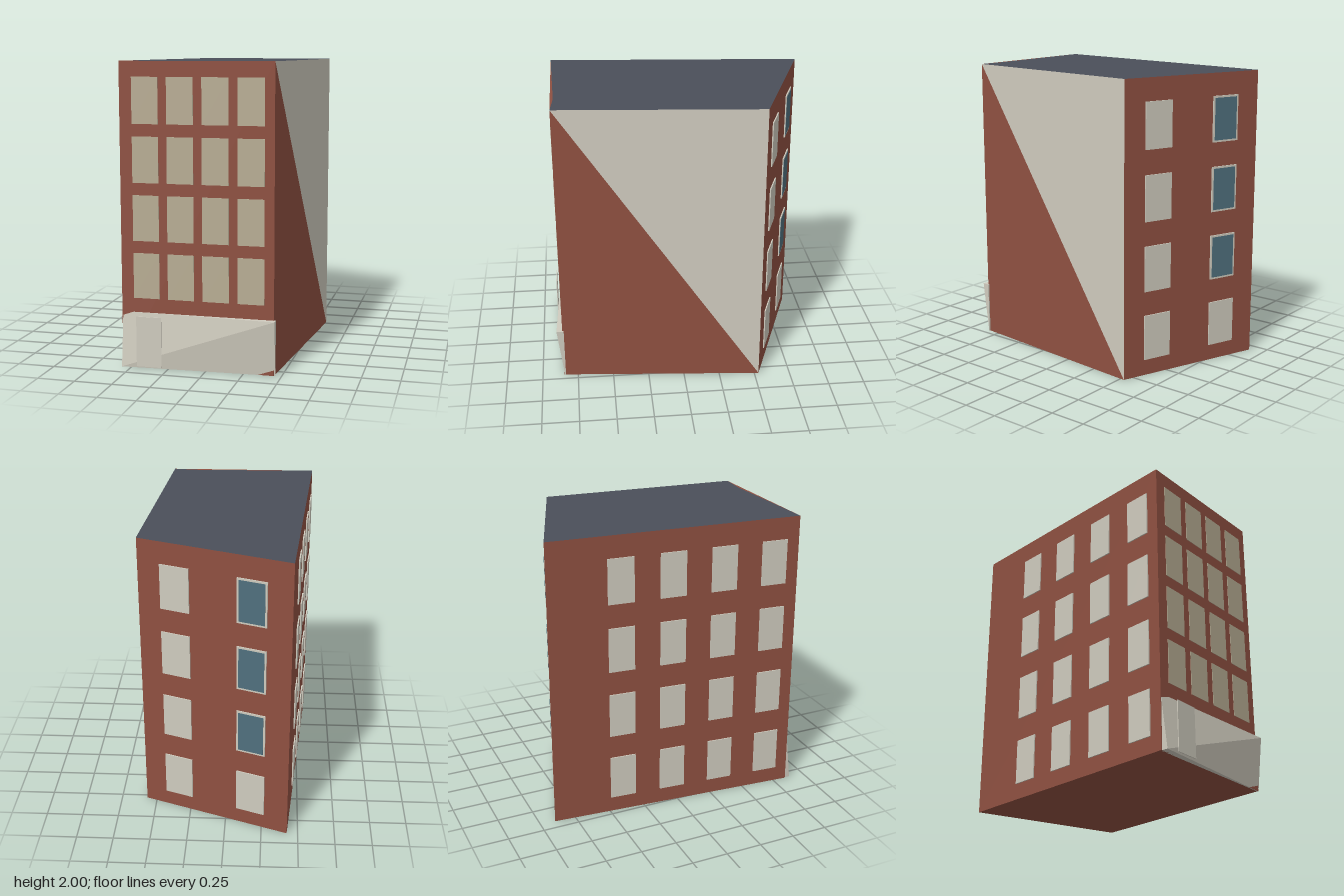
import * as THREE from 'three';

const mat = (name, color) => {
  const m = new THREE.MeshStandardMaterial({ color });
  m.name = name;
  return m;
};

export function createModel() {
  const brick = mat('brick', 0x8f5041);
  const stone = mat('stone', 0xcfcbbe);
  const blind = mat('window tan', 0xb8ad94);
  const slate = mat('roof slate', 0x4b4f5a);
  const glass = mat('glass blue', 0x50707e);

  const model = new THREE.Group();
  model.name = 'building';
  const H = 2;

  // Footprint corners [x, z]
  const A = [-0.57, 0.847], B = [0.45, 0.847], C = [0.57, -0.53], D = [-0.425, -0.895];
  const low = (p) => [p[0], 0, p[1]];
  const high = (p) => [p[0], H, p[1]];

  // Flat-shaded mesh from convex polygons, corners counter-clockwise from outside
  function faces(name, material, polygons) {
    const pos = [];
    for (const p of polygons)
      for (let i = 1; i < p.length - 1; i++) pos.push(...p[0], ...p[i], ...p[i + 1]);
    const g = new THREE.BufferGeometry();
    g.setAttribute('position', new THREE.Float32BufferAttribute(pos, 3));
    g.computeVertexNormals();
    const mesh = new THREE.Mesh(g, material);
    mesh.name = name;
    model.add(mesh);
  }

  // Walls: front, back, left, lower half of the right side, and underside
  const wall = (p, q) => [low(p), low(q), high(q), high(p)];
  faces('brickWalls', brick, [
    wall(A, B), wall(C, D), wall(D, A),
    [low(B), low(C), high(B)],
    [low(A), low(D), low(C), low(B)],
  ]);
  faces('sideStoneTriangle', stone, [[low(C), high(C), high(B)]]);

  // Roof, with a thin brick sliver along the front edge
  const notch = [0.25, 0.827];
  faces('roof', slate, [[high(notch), high(B), high(C), high(D), high(A)]]);
  faces('roofBrickEdge', brick, [[high(A), high(B), high(notch)]]);

  // Thin plate on the wall running from p to q, at distance s along it
  function plate(name, material, p, q, s, y, w, h, out, thick = 0.006) {
    const dx = q[0] - p[0], dz = q[1] - p[1], len = Math.hypot(dx, dz);
    const angle = Math.atan2(-dz, dx);
    const mesh = new THREE.Mesh(new THREE.BoxGeometry(w, h, thick), material);
    const o = out - thick / 2;
    mesh.position.set(
      p[0] + (dx / len) * s + Math.sin(angle) * o, y,
      p[1] + (dz / len) * s + Math.cos(angle) * o);
    mesh.rotation.y = angle;
    mesh.name = name;
    model.add(mesh);
  }

  for (let row = 0; row < 4; row++) {
    // Front windows
    for (let i = 0; i < 4; i++)
      plate('frontWindow', blind, A, B, 0.171 + i * 0.2325, 0.61 + row * 0.38, 0.176, 0.3, 0.003);

    // Left side windows
    const y = 0.265 + row * 0.476;
    for (let i = 0; i < 4; i++)
      plate('sideWindow', stone, D, A, 0.494 + i * 0.359, y, 0.18, 0.31, 0.008, 0.009);

    // Back windows, one column glazed above the ground floor
    for (const s of [0.26, 0.791])
      plate('backWindow', stone, C, D, s, y, 0.203, 0.31, 0.008, 0.009);
    if (row > 0) plate('backGlass', glass, C, D, 0.791, y, 0.177, 0.284, 0.01, 0.004);
  }

  // Ground-floor stone front: a slab with two opposite front corners pushed back
  const slab = new THREE.BoxGeometry(1.025, 0.365, 0.05).toNonIndexed();
  slab.translate(-0.0525, 0.1825, 0.862);
  const p = slab.attributes.position;
  for (let i = 0; i < p.count; i++) {
    const left = p.getX(i) < 0, top = p.getY(i) > 0.1;
    if (p.getZ(i) > 0.87 && left === top) p.setZ(i, top ? 0.844 : 0.842);
  }
  slab.computeVertexNormals();
  const shopFront = new THREE.Mesh(slab, stone);
  shopFront.name = 'shopFront';
  model.add(shopFront);

  // Door
  plate('door', stone, A, B, 0.195, 0.178, 0.17, 0.335, 0.045);

  return model;
}
